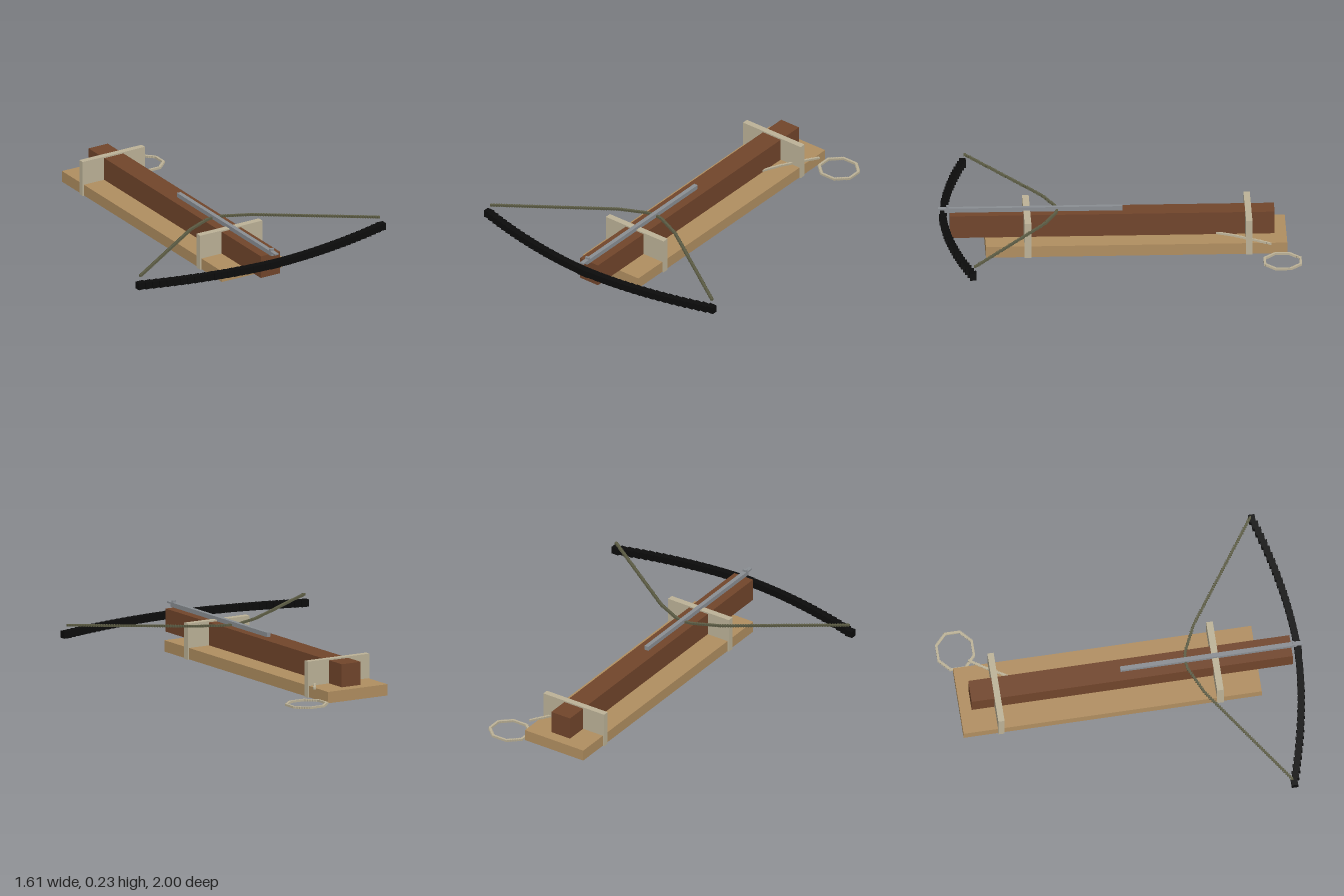
import * as THREE from 'three';
import { mergeGeometries } from 'three/addons/utils/BufferGeometryUtils.js';

const material = (name, color) => {
  const m = new THREE.MeshStandardMaterial({ color });
  m.name = name;
  return m;
};

export function createModel() {
  const group = new THREE.Group();
  group.name = 'crossbowTrap';
  const lightWood = material('light wood', 0xb08e60);
  const darkWood = material('dark wood', 0x71452b);
  const pale = material('pale strap', 0xbcb297);
  const black = material('black bow', 0x0c0c0c);
  const olive = material('olive string', 0x5c5c44);
  const steel = material('grey steel', 0x8a8e93);

  const add = (name, geometry, mat) => {
    const mesh = new THREE.Mesh(geometry, mat);
    mesh.name = name;
    group.add(mesh);
  };
  // Box given by its limits on each axis
  const box = (x0, x1, y0, y1, z0, z1) =>
    new THREE.BoxGeometry(x1 - x0, y1 - y0, z1 - z0)
      .translate((x0 + x1) / 2, (y0 + y1) / 2, (z0 + z1) / 2);
  // Row of small upright blocks through a list of points
  const blocks = (points, count, w, h, d) => {
    const path = new THREE.CurvePath();
    for (let i = 1; i < points.length; i++) {
      path.add(new THREE.LineCurve3(new THREE.Vector3(...points[i - 1]), new THREE.Vector3(...points[i])));
    }
    const parts = [];
    for (let i = 0; i <= count; i++) {
      const p = path.getPointAt(i / count);
      parts.push(new THREE.BoxGeometry(w, h, d).translate(p.x, p.y, p.z));
    }
    return mergeGeometries(parts);
  };

  // Base board, stock and the plate let into the underside
  add('baseBoard', box(-0.195, 0.195, 0.002, 0.066, -0.925, 0.742), lightWood);
  add('stock', box(-0.0625, 0.0625, 0.066, 0.196, -0.86, 0.935), darkWood);
  add('undersidePlate', box(-0.0625, 0.0625, 0, 0.008, -0.8, -0.53), darkWood);

  // Two upright straps around stock and board
  add('frontStrap', box(-0.203, 0.203, 0, 0.204, 0.491, 0.528), pale);
  add('rearStrap', box(-0.203, 0.203, 0, 0.204, -0.732, -0.697), pale);

  // Stepped bow limbs
  const limbs = [];
  const steps = 40;
  for (let i = 0; i <= steps; i++) {
    const x = -0.782 + (1.564 * i) / steps;
    const z = 0.97 - 0.135 * Math.pow(Math.abs(x) / 0.782, 1.8);
    limbs.push(new THREE.BoxGeometry(0.046, 0.04, 0.036).translate(x, 0.15, z));
  }
  limbs.push(box(-0.035, 0.035, 0.13, 0.17, 0.955, 0.992));
  add('bow', mergeGeometries(limbs), black);

  // Drawn string
  add('bowString', blocks([
    [-0.775, 0.202, 0.822], [-0.2, 0.202, 0.42], [-0.05, 0.202, 0.35], [0, 0.202, 0.342],
    [0.05, 0.202, 0.35], [0.2, 0.202, 0.42], [0.775, 0.202, 0.822],
  ], 130, 0.014, 0.012, 0.014), olive);

  // Bolt lying on the stock, with a small sight at the tip
  add('bolt', mergeGeometries([
    box(-0.012, 0.012, 0.196, 0.212, -0.02, 0.965),
    box(-0.012, 0.012, 0.212, 0.221, -0.02, 1),
    box(-0.012, 0.012, 0.221, 0.234, 0.942, 0.954),
  ]), steel);

  // Trip cord along the board, ending at the snare loop
  add('tripCord', blocks([[0.06, 0.073, -0.54], [0.1, 0.073, -0.63], [0.17, 0.073, -0.75], [0.222, 0.073, -0.83]],
    34, 0.012, 0.011, 0.012), pale);
  const ring = [];
  for (let i = 0; i <= 8; i++) {
    const a = ((i + 0.5) / 8) * Math.PI * 2;
    ring.push([0.316 + 0.115 * Math.cos(a), 0.007, -0.895 + 0.107 * Math.sin(a)]);
  }
  add('snareLoop', blocks(ring, 72, 0.013, 0.012, 0.013), pale);

  return group;
}
